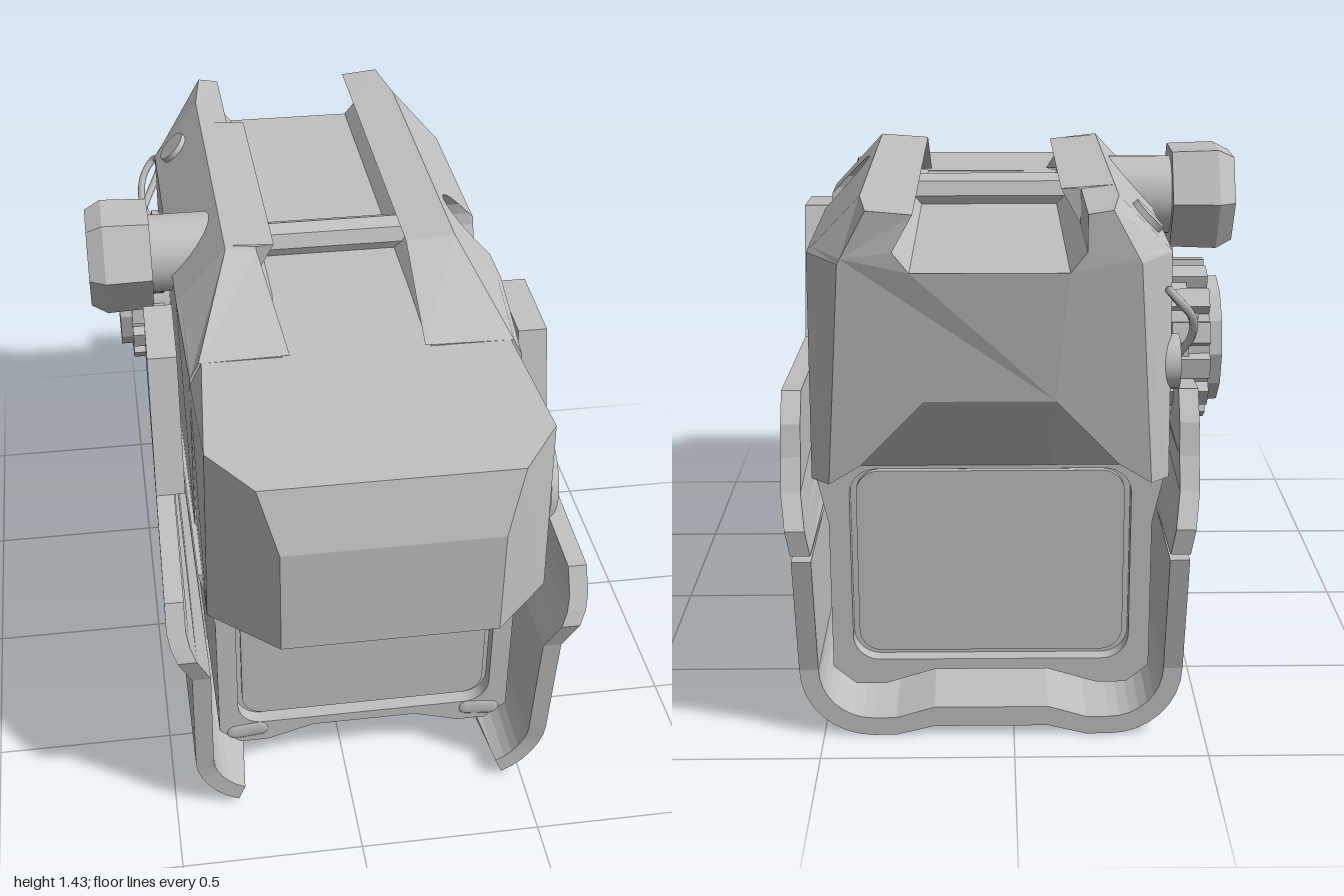
import * as THREE from 'three';
import { ConvexGeometry } from 'three/addons/geometries/ConvexGeometry.js';

const grey = new THREE.MeshStandardMaterial({ color: 0xc0c0c0, side: THREE.DoubleSide });
grey.name = 'grey metal';

const mesh = (name, geo, x = 0, y = 0, z = 0) => {
  const m = new THREE.Mesh(geo, grey);
  m.name = name;
  m.position.set(x, y, z);
  return m;
};

// Skin a list of equal-length rings; capTris closes both ends.
function loft(rings, capTris) {
  const v = [], n = rings[0].length;
  const tri = (a, b, c) => v.push(...a, ...b, ...c);
  for (let k = 0; k < rings.length - 1; k++) for (let i = 0; i < n; i++) {
    const j = (i + 1) % n, r = rings[k], s = rings[k + 1];
    tri(r[i], r[j], s[j]);
    tri(r[i], s[j], s[i]);
  }
  const first = rings[0], last = rings[rings.length - 1];
  for (const [a, b, c] of capTris(last)) tri(last[a], last[b], last[c]);
  for (const [a, b, c] of capTris(first)) tri(first[c], first[b], first[a]);
  const g = new THREE.BufferGeometry();
  g.setAttribute('position', new THREE.Float32BufferAttribute(v, 3));
  g.computeVertexNormals();
  return g;
}
const quadCap = () => [[0, 1, 2], [0, 2, 3]];
const polyCap = ring => {
  const p = ring.map(q => new THREE.Vector2(q[0], q[1]));
  return THREE.ShapeUtils.triangulateShape(p, []).map(([a, b, c]) =>
    p[b].clone().sub(p[a]).cross(p[c].clone().sub(p[a])) < 0 ? [a, c, b] : [a, b, c]);
};
const flip = p => [-p[0], p[1], p[2]];
const mirrored = (half, other = half) => [...half, ...other.map(flip).reverse()];

function roundRect(w, y0, y1, r, C = THREE.Shape) {
  const s = new C();
  s.moveTo(w - r, y0);
  s.absarc(w - r, y0 + r, r, -Math.PI / 2, 0);
  s.absarc(w - r, y1 - r, r, 0, Math.PI / 2);
  s.absarc(-w + r, y1 - r, r, Math.PI / 2, Math.PI);
  s.absarc(-w + r, y0 + r, r, Math.PI, Math.PI * 1.5);
  s.closePath();
  return s;
}
const extrude = (s, depth) => new THREE.ExtrudeGeometry(s, { depth, bevelEnabled: false, curveSegments: 6 });
const faceted = geo => {
  const g = geo.toNonIndexed();
  g.computeVertexNormals();
  return g;
};
// Cylinder and lathe turned to lie along x, side = +1 or -1 for the outward end.
const rodX = (r, len, n = 32) => new THREE.CylinderGeometry(r, r, len, n).rotateZ(Math.PI / 2);
const latheX = (pts, side, n = 32) =>
  faceted(new THREE.LatheGeometry(pts.map(p => new THREE.Vector2(...p)), n).rotateZ(-side * Math.PI / 2));

// Outside half-width of the guard's upper wall
const guardX = (y, z) => {
  const t = THREE.MathUtils.clamp((y - 0.55) / 0.15, 0, 1);
  return 0.5 + 0.06 * t - 0.02 * (0.88 - z) * t;
};

function buildGuard(g) {
  // Rows of front z, front y, back z, back y, from top to bottom
  const panel = (rows, t) => rows.map(([zf, yf, zb, yb]) => {
    const xf = guardX(yf, zf), xb = guardX(yb, zb);
    return [[xb, yb, zb], [xf, yf, zf], [xf - t, yf, zf], [xb - t, yb, zb]];
  });
  const wall = panel([[.81, .79, -.80, .93], [.825, .76, -.86, .86], [.845, .72, -.88, .78],
    [.865, .68, -.92, .70], [.88, .64, -.98, .62], [.85, .55, -.97, .55], [.84, .47, -.95, .545]], 0.05);
  const tower = panel([[.30, 1.21, .06, 1.23], [.40, .826, -.09, .868]], 0.08);
  for (const [name, rows] of [['guardWall', wall], ['guardTower', tower]]) {
    g.add(mesh(name + 'Left', loft(rows, quadCap)));
    g.add(mesh(name + 'Right', loft(rows.map(r => r.map(flip)).reverse(), quadCap)));
  }
  // Hoops under the body: outer and inner profile points
  const half = [[.5, .53, .45, .53]];
  for (let i = 0; i <= 8; i++) {
    const a = i / 8 * Math.PI / 2, c = Math.cos(a), s = Math.sin(a);
    half.push([.31 + .19 * c, .19 - .19 * s, .31 + .14 * c, .19 - .14 * s]);
  }
  half.push([.305, 0, .305, .05], [.25, 0, .25, .05], [.15, .025, .15, .08]);
  const profile = [...half, ...half.map(([a, b, c, d]) => [-a, b, -c, d]).reverse()];
  const hoop = (front, back) => loft(profile.map(([x, y, u, w]) => {
    const f = front(x, y), b = back(x, y);
    return [[x, y, b], [x, y, f], [u, w, f], [u, w, b]];
  }), quadCap);
  g.add(mesh('frontHoop', hoop(
    (x, y) => Math.abs(x) < 0.36 ? 0.45 : 0.79 + Math.max(0, y - 0.1) * 0.13,
    (x, y) => 0.2 + Math.max(0, y - 0.17) * 0.18)));
  g.add(mesh('rearHoop', hoop(
    (x, y) => -0.43 + Math.max(0, y - 0.15) * 0.26,
    (x, y) => -0.88 - Math.max(0, y - 0.3) * 0.35)));
}

function buildUpperBody() {
  // Half section from the bottom up; S is the shoulder, R the rail's outer edge.
  // h is the half-height of the round bolt pocket cut into the slope.
  const half = (base, S, R, groove, h) => {
    let slope;
    if (h === undefined) {
      const flush = S.map((c, i) => c + (R[i] - c) * 0.1);
      slope = [S, flush, flush, flush, flush];
    } else {
      const z = S[2], lo = 1.295 - h, hi = 1.295 + h;
      const surf = y => y < 1.28 ? .455 : .455 - (y - 1.28) * .14 / .15;
      slope = [[.455, Math.min(lo, 1.28), z], [surf(lo), lo, z], [.32, lo, z], [.32, hi, z], [surf(hi), hi, z]];
    }
    return [...base, ...slope, R, ...groove];
  };
  const groove = (z, lip) => [[lip, 1.42, z], [.23, 1.33, z], [.19, 1.28, z]];
  const rear = y => -1 + (1.43 - y) * 0.0857;
  const base = (z, zSide = z) => [[.16, .72, z], [.34, .72, z], [.45, .72, zSide]];
  // The lip over the groove is cut back at both ends of the right-hand rail.
  const station = (b, S, R, z, rightLip = .18, h) =>
    mirrored(half(b, S, R, groove(z, .18), h), half(b, S, R, groove(z, rightLip)));
  const mid = (z, rightLip, h) => station(base(z), [.455, 1.28, z], [.315, 1.43, z], z, rightLip, h);

  const rings = [
    station([[.16, .95, rear(.95)], [.32, .78, rear(.78)], [.40, .73, rear(.73)]],
      [.36, 1.30, rear(1.30)], [.29, 1.43, -1], -1, .23),
    station(base(-.78, -.87), [.455, 1.28, -.77], [.315, 1.43, -.82], -.8, .23),
    mid(-.685, .23), mid(-.68), mid(-.232),
  ];
  for (let i = 0; i <= 10; i++) {
    const a = i / 10 * Math.PI;
    rings.push(mid(-.12 - .112 * Math.cos(a), .18, .112 * Math.sin(a)));
  }
  rings.push(mid(-.008), mid(.1), mid(.105, .23), mid(.13, .23));
  const nose = half(base(.43), [.445, 1.22, .43], [.42, 1.268, .43],
    [[.18, 1.272, .43], [.215, 1.27, .43], [.19, 1.268, .43]]);
  rings.push(mirrored(nose));
  return loft(rings, polyCap);
}

function buildBody(g) {
  // Upper body with the undercut mounting groove
  g.add(mesh('upperBody', buildUpperBody()));

  // Faceted hood over the front window
  const hood = [[.445, 1.20, .4], [.41, 1.27, .4], [.44, 1.245, .8], [.33, 1.235, .95], [.28, 1.07, 1],
    [.28, .77, 1], [.27, .73, .95], [.45, .73, .8], [.445, .72, .4]];
  g.add(mesh('hood', new ConvexGeometry(mirrored(hood).map(p => new THREE.Vector3(...p)))));

  // Window housing, open from front to back
  const outline = mirrored([[.15, .14], [.28, .10], [.36, .10], [.42, .15], [.42, .56], [.46, .74]]);
  const housing = new THREE.Shape(outline.map(p => new THREE.Vector2(p[0], p[1])));
  housing.holes.push(roundRect(0.365, 0.17, 0.71, 0.07, THREE.Path));
  g.add(mesh('windowHousing', extrude(housing, 1.43), 0, 0, -0.78));
  for (const s of [1, -1]) {
    const z = s > 0 ? 0.65 : -0.78;
    g.add(mesh('windowSeat', extrude(roundRect(0.37, 0.165, 0.715, 0.07), 0.02), 0, 0, z - s * 0.05 - 0.01));
    g.add(mesh('windowPane', extrude(roundRect(0.35, 0.185, 0.695, 0.06), 0.02), 0, 0, z - s * 0.035 - 0.01));
    // Small pads beside the front lower edge
    const pad = new THREE.CapsuleGeometry(0.024, 0.07, 4, 10).rotateZ(Math.PI / 2 - s * 0.1).scale(1, 1, 0.2);
    g.add(mesh('lowerPad', pad, s * 0.34, 0.142, 0.65));
  }
}

function buildControls(g) {
  // Buttons in dished collars on the left side
  for (const [y, z] of [[1.02, -.15], [1.05, -.48]]) {
    g.add(mesh('buttonCollar', latheX([[.13, -.01], [.13, .012], [.085, -.004], [.08, -.01]], 1), .46, y, z));
    g.add(mesh('button', rodX(.08, .05), .45, y, z));
  }
  // Slotted screw cap on the side of the hood
  g.add(mesh('screwCollar', latheX([[.135, -.02], [.135, .01], [.115, .035], [.09, .02], [.09, -.02]], 1), .445, .98, .64));
  for (const s of [1, -1]) {
    const half = new THREE.Shape();
    half.absarc(0, 0, .085, .15, Math.PI - .15);
    half.closePath();
    const geo = extrude(half, .03).rotateY(Math.PI / 2).rotateX(s > 0 ? -.35 : Math.PI - .35);
    g.add(mesh('screwHalf', geo, .44, .98, .64));
  }
  g.add(mesh('screwSlotFloor', rodX(.088, .02), .445, .98, .64));

  // Clamp bolt across the groove, its end sunk in the pocket
  g.add(mesh('crossBar', faceted(rodX(.055, .46, 8)), 0, 1.305, -.13));
  g.add(mesh('boltEnd', latheX([[.065, -.05], [.065, .01], [.055, .02], [0, .02]], 1), .35, 1.295, -.12));
  g.add(mesh('boltShaft', rodX(.11, .24), -.43, 1.295, -.12));
  g.add(mesh('boltHead', latheX([[0, -.01], [.155, -.01], [.16, .12], [.135, .165], [.075, .165], [.075, .13], [0, .13]], -1, 6),
    -.52, 1.295, -.12));
  g.add(mesh('boltHeadBlade', new THREE.BoxGeometry(.03, .04, .13), -.655, 1.295, -.12));

  // Notched battery cap with a hexagonal socket
  const gear = new THREE.Shape();
  const teeth = 14;
  for (let i = 0; i < teeth; i++) [[.0, .215], [.55, .215], [.65, .185], [.9, .185]].forEach(([f, r], k) => {
    const a = (i + f) / teeth * Math.PI * 2;
    gear[i + k ? 'lineTo' : 'moveTo'](r * Math.cos(a), r * Math.sin(a));
  });
  gear.closePath();
  const ringHole = new THREE.Path();
  ringHole.absarc(0, 0, .15, 0, Math.PI * 2, true);
  gear.holes.push(ringHole);
  g.add(mesh('batteryCapGrip', extrude(gear, .1).rotateY(-Math.PI / 2), -.47, .975, -.48));
  g.add(mesh('batteryCapBase', rodX(.2, .09), -.47, .975, -.48));
  const rim = new THREE.Shape();
  rim.absarc(0, 0, .17, 0, Math.PI * 2);
  const hex = new THREE.Path();
  for (let i = 0; i < 6; i++) hex[i ? 'lineTo' : 'moveTo'](.11 * Math.cos(i * Math.PI / 3), .11 * Math.sin(i * Math.PI / 3));
  hex.closePath();
  rim.holes.push(hex);
  g.add(mesh('batteryCapRim', extrude(rim, .07).rotateY(-Math.PI / 2), -.535, .975, -.48));

  // Retaining wire, its anchor and the small shoulder pin
  g.add(mesh('wireAnchor', rodX(.07, .05), -.45, 1.0, -.79));
  const loop = [[-.46, 1.0, -.79], [-.50, 1.08, -.84], [-.49, 1.15, -.9], [-.45, 1.2, -.92],
    [-.44, 1.2, -.85], [-.49, 1.13, -.76], [-.53, 1.08, -.66]].map(p => new THREE.Vector3(...p));
  g.add(mesh('retainingWire', new THREE.TubeGeometry(new THREE.CatmullRomCurve3(loop), 40, .011, 6)));
  g.add(mesh('shoulderPin', new THREE.CylinderGeometry(.05, .05, .06, 20).rotateZ(.8), -.385, 1.335, -.68));
}

export function createModel() {
  const model = new THREE.Group();
  model.name = 'opticalSight';
  for (const [name, build] of [['body', buildBody], ['guard', buildGuard], ['controls', buildControls]]) {
    const part = new THREE.Group();
    part.name = name;
    part.position.x = 0.06;
    build(part);
    model.add(part);
  }
  return model;
}
